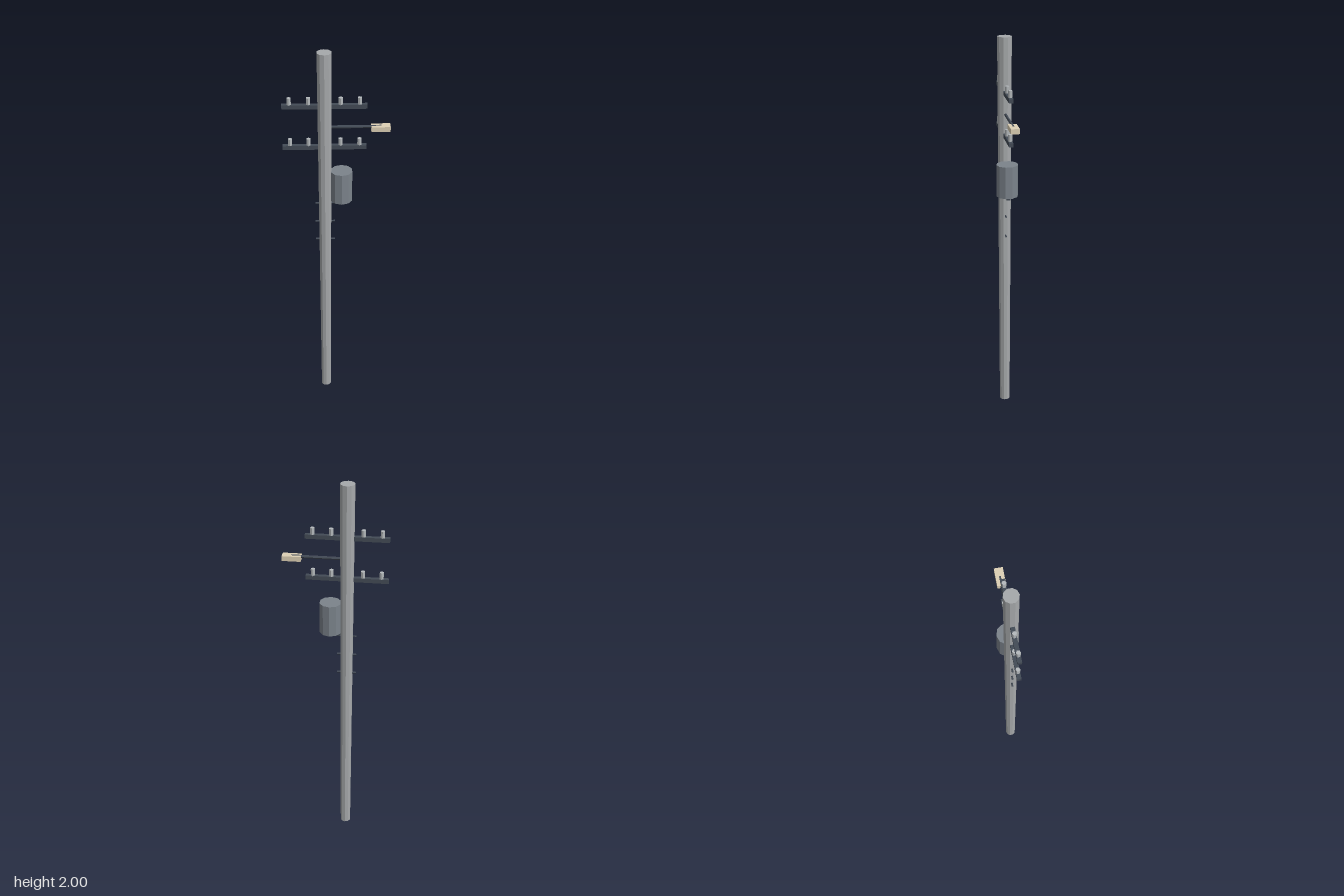
import * as THREE from 'three';

const POLE_X = -0.058;

function material(color) {
  return new THREE.MeshStandardMaterial({ color, flatShading: true });
}

export function createModel() {
  const model = new THREE.Group();
  model.name = 'utilityPole';
  const concrete = material(0xa6a9ab);
  const darkSteel = material(0x434b56);
  const tankPaint = material(0x7b838b);
  const ceramic = material(0xb4b9bc);
  const lampPaint = material(0xdccfb4);

  function add(name, geometry, mat, x, y, z = 0, parent = model) {
    const mesh = new THREE.Mesh(geometry, mat);
    mesh.name = name;
    mesh.position.set(x, y, z);
    parent.add(mesh);
    return mesh;
  }

  // Ten-sided pole, slightly wider at the top
  add('pole', new THREE.CylinderGeometry(0.036, 0.027, 2, 10), concrete, POLE_X, 1);

  // Two crossarms, each with four hexagonal insulators
  const armGeometry = new THREE.BoxGeometry(0.405, 0.021, 0.021);
  const insulatorGeometry = new THREE.CylinderGeometry(0.011, 0.011, 0.036, 6);
  for (const [name, y] of [['upperCrossarm', 1.73], ['lowerCrossarm', 1.515]]) {
    const arm = new THREE.Group();
    arm.name = name;
    arm.position.set(POLE_X, y, 0);
    add('crossarmBeam', armGeometry, darkSteel, 0, 0, 0, arm);
    for (const x of [-0.167, -0.077, 0.077, 0.167]) {
      add('insulator', insulatorGeometry, ceramic, x, 0.0265, 0, arm);
    }
    model.add(arm);
  }

  // Street lamp on a thin horizontal arm
  const lampArm = new THREE.CylinderGeometry(0.0075, 0.0075, 0.271, 6).rotateZ(Math.PI / 2);
  add('lampArm', lampArm, darkSteel, 0.0775, 1.621);
  add('lampHead', new THREE.BoxGeometry(0.092, 0.025, 0.042), lampPaint, 0.211, 1.614);

  // Transformer tank with its supporting bracket
  add('transformer', new THREE.CylinderGeometry(0.055, 0.055, 0.164, 10), tankPaint, 0.024, 1.3);
  add('transformerBracket', new THREE.BoxGeometry(0.125, 0.012, 0.02), darkSteel, 0.008, 1.214);

  // Climbing pegs on both sides of the pole
  const pegGeometry = new THREE.CylinderGeometry(0.0045, 0.0045, 0.03, 6).rotateZ(Math.PI / 2);
  for (const y of [0.982, 1.09, 1.197]) {
    for (const side of [-1, 1]) {
      add('climbingPeg', pegGeometry, darkSteel, POLE_X + side * 0.034, y);
    }
  }

  return model;
}
